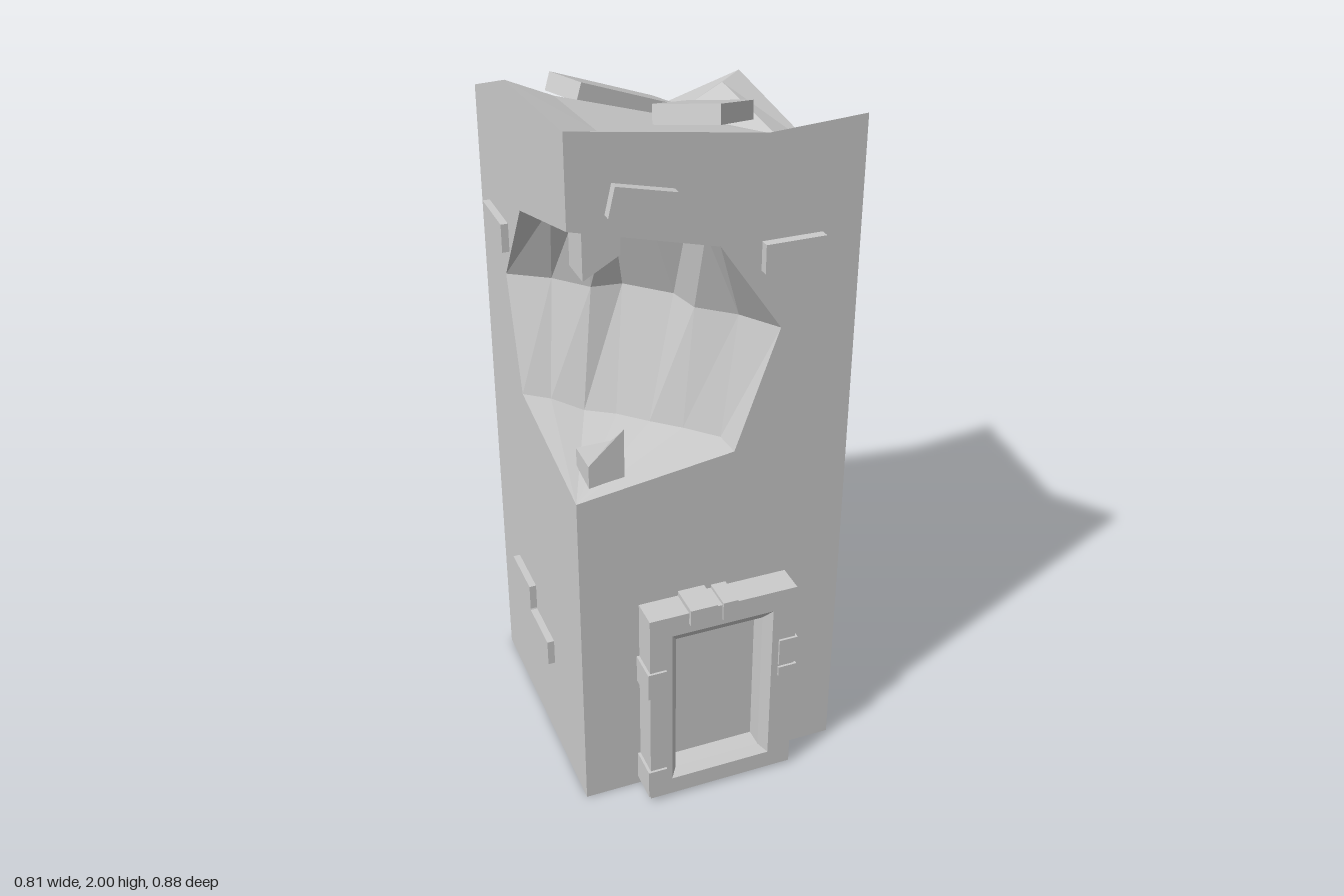
import * as THREE from 'three';

const mat = new THREE.MeshStandardMaterial({ color: 0xcccccc, flatShading: true });
const L = -0.385, R = 0.378, F = 0.342, B = -0.42;

// Geometry from a list of polygons, each counter-clockwise seen from outside
function fromPolygons(polys) {
  const pos = [];
  for (const pts of polys) {
    const n = [0, 0, 0];
    pts.forEach((p, i) => {
      const q = pts[(i + 1) % pts.length];
      for (let k = 0; k < 3; k++) {
        const a = (k + 1) % 3, b = (k + 2) % 3;
        n[k] += (p[a] - q[a]) * (p[b] + q[b]);
      }
    });
    const abs = n.map(Math.abs), k = abs.indexOf(Math.max(...abs));
    let a = (k + 1) % 3, b = (k + 2) % 3;
    if (n[k] < 0) [a, b] = [b, a];
    const flat = pts.map(p => new THREE.Vector2(p[a], p[b]));
    for (const tri of THREE.ShapeUtils.triangulateShape(flat, []))
      for (const i of tri) pos.push(...pts[i]);
  }
  const g = new THREE.BufferGeometry();
  g.setAttribute('position', new THREE.Float32BufferAttribute(pos, 3));
  g.computeVertexNormals();
  return g;
}

function towerGeometry() {
  const polys = [];
  // Four walls, with the broken corners in their outlines
  const front = [[L, 0], [R, 0], [R, 1.945], [0.12, 1.93], [L, 2], [L, 1.76], [0, 1.66], [0.17, 1.41], [0.05, 1.07], [L, 1.01]];
  const left = [[F, 0], [B, 0], [B, 1.04], [-0.11, 1.21], [B, 1.355], [B, 1.82], [0.07, 1.76], [F, 1.945]];
  const back = [[R, 0], [L, 0], [L, 1.87], [0.08, 1.73], [R, 1.82], [R, 1.355], [0.235, 1.36], [0.09, 1.13], [R, 1.04]];
  const right = [[B, 0], [F, 0], [F, 1.01], [-0.113, 1.09], [-0.213, 1.41], [-0.043, 1.66], [F, 1.76], [F, 2], [-0.12, 1.975], [B, 1.87]];
  polys.push(front.map(([x, y]) => [x, y, F]), left.map(([z, y]) => [R, y, z]),
    back.map(([x, y]) => [x, y, B]), right.map(([z, y]) => [L, y, z]));
  polys.push([[L, 0, B], [R, 0, B], [R, 0, F], [L, 0, F]]);

  // Small notch in the back corner, fanned from its deepest point
  const a = [R, 1.21, -0.11];
  const edge = [[R, 1.355, B], [0.235, 1.36, B], [0.09, 1.13, B], [R, 1.04, B]];
  for (let i = 0; i < 3; i++) polys.push([edge[i], a, edge[i + 1]]);

  // Big bite in the front corner: rings measured inward from that corner
  const ring = r => r.map(([u, v, y]) => [L + u, y, F - v]);
  const rings = [
    ring([[0.435, 0, 1.07], [0.43, 0.08, 1.07], [0.355, 0.16, 1.07], [0.29, 0.24, 1.06], [0.22, 0.31, 1.06],
      [0.145, 0.36, 1.06], [0.07, 0.42, 1.08], [0, 0.455, 1.09]]),
    ring([[0.555, 0, 1.41], [0.485, 0.105, 1.41], [0.395, 0.185, 1.41], [0.375, 0.28, 1.41], [0.27, 0.385, 1.41],
      [0.185, 0.395, 1.41], [0.105, 0.485, 1.41], [0, 0.555, 1.41]]),
    ring([[0.385, 0, 1.66], [0.38, 0.08, 1.66], [0.36, 0.15, 1.67], [0.28, 0.22, 1.68], [0.21, 0.29, 1.68],
      [0.145, 0.34, 1.68], [0.075, 0.37, 1.66], [0, 0.385, 1.66]]),
  ];
  const floor = [L, 1.01, F], ceiling = [L, 1.76, F];
  for (let i = 0; i < 7; i++) {
    polys.push([floor, rings[0][i], rings[0][i + 1]], [ceiling, rings[2][i + 1], rings[2][i]]);
    for (let j = 0; j < 2; j++) {
      const lo = rings[j], hi = rings[j + 1];
      polys.push([lo[i + 1], lo[i], hi[i]], [lo[i + 1], hi[i], hi[i + 1]]);
    }
  }

  // Collapsed roof: uneven rim, and an inner ring fanned from its low point
  const rim = [[L, 2, F], [0.12, 1.93, F], [R, 1.945, F], [R, 1.76, 0.07], [R, 1.82, B], [0.08, 1.73, B], [L, 1.87, B], [L, 1.975, -0.12]];
  const inner = [[-0.27, 1.95, 0.235], [0.11, 1.88, 0.235], [0.28, 1.88, 0.235], [0.28, 1.8, 0.04],
    [0.28, 1.83, -0.31], [0.115, 1.78, -0.25], [-0.27, 1.86, -0.31], [-0.27, 1.93, -0.09]];
  for (let i = 0; i < 8; i++) {
    const j = (i + 1) % 8;
    polys.push([rim[i], rim[j], inner[j]], [rim[i], inner[j], inner[i]]);
    if (i !== 3 && j !== 3) polys.push([inner[i], inner[j], inner[3]]);
  }
  return fromPolygons(polys);
}

export function createModel() {
  const group = new THREE.Group();
  const add = (name, geo, parent = group) => {
    const m = new THREE.Mesh(geo, mat);
    m.name = name;
    parent.add(m);
    return m;
  };
  // Box given by its lower and upper limits
  const box = (name, x0, x1, y0, y1, z0, z1, parent) => {
    const m = add(name, new THREE.BoxGeometry(x1 - x0, y1 - y0, z1 - z0), parent);
    m.position.set((x0 + x1) / 2, (y0 + y1) / 2, (z0 + z1) / 2);
    return m;
  };

  add('towerBody', towerGeometry());

  // Bricks standing proud of the walls
  box('frontBrick', -0.285, -0.125, 1.768, 1.846, 0.32, 0.367).rotation.z = -0.23;
  box('frontBrick', 0.11, 0.272, 1.578, 1.656, 0.32, 0.367);
  for (const [z0, z1, y] of [[0.015, 0.175, 0.375], [-0.148, 0.013, 0.29], [0.11, 0.27, 1.495]])
    box('leftBrick', 0.35, 0.404, y, y + 0.08, z0, z1);
  for (const [z0, z1, y] of [[-0.25, -0.085, 0.375], [-0.085, 0.078, 0.29], [-0.34, -0.165, 1.495]])
    box('rightBrick', -0.405, -0.36, y, y + 0.08, z0, z1);
  for (const [x0, x1, y] of [[-0.275, -0.115, 1.58], [-0.145, 0.015, 0.8], [-0.305, -0.145, 0.72], [0.07, 0.232, 0.25]])
    box('backBrick', x0, x1, y, y + 0.08, -0.44, -0.4);

  // Doorway: frame with a chamfered opening, recessed door and stones around it
  const door = new THREE.Group();
  door.name = 'doorway';
  group.add(door);
  const rect = (T, x0, x1, y0, y1) => {
    const s = new T();
    s.moveTo(x0, y0).lineTo(x1, y0).lineTo(x1, y1).lineTo(x0, y1).closePath();
    return s;
  };
  const opening = [-0.155, 0.143, 0.065, 0.58], panel = [-0.135, 0.122, 0.082, 0.547];
  const shape = rect(THREE.Shape, -0.22, 0.212, 0.01, 0.645);
  shape.holes.push(rect(THREE.Path, ...opening));
  add('doorFrame', new THREE.ExtrudeGeometry(shape, { depth: 0.083, bevelEnabled: false }), door).position.z = F;
  const corners = ([x0, x1, y0, y1], z) => [[x0, y0, z], [x1, y0, z], [x1, y1, z], [x0, y1, z]];
  const steps = [corners(opening, 0.425), corners(panel, 0.4), corners(panel, 0.34)];
  const reveal = [];
  for (let s = 0; s < 2; s++)
    for (let i = 0; i < 4; i++) {
      const j = (i + 1) % 4;
      reveal.push([steps[s][i], steps[s][j], steps[s + 1][j], steps[s + 1][i]]);
    }
  add('doorReveal', fromPolygons(reveal), door);
  box('door', ...panel, 0.33, 0.346, door);
  for (const [x0, x1, y0, y1, z1] of [[-0.228, -0.173, 0.385, 0.47, 0.432], [-0.228, -0.173, 0.025, 0.115, 0.432],
    [0.163, 0.218, 0.39, 0.475, 0.432], [0.163, 0.218, 0.35, 0.38, 0.432],
    [-0.107, -0.03, 0.61, 0.66, 0.438], [-0.01, 0.033, 0.598, 0.655, 0.432]])
    box('doorStone', x0, x1, y0, y1, 0.34, z1, door);

  // Stumps of the broken corner post inside the bite, each with one raised corner
  const stump = (name, y0, y1, broken, lift) => {
    const m = box(name, -0.335, -0.238, y0, y1, 0.197, 0.297);
    const p = m.geometry.attributes.position;
    for (let i = 0; i < p.count; i++)
      if (p.getX(i) > 0 && p.getZ(i) > 0 && p.getY(i) * broken > 0) p.setY(i, p.getY(i) + lift);
    m.geometry.computeVertexNormals();
  };
  stump('lowerStump', 0.98, 1.085, 1, 0.09);
  stump('upperStump', 1.605, 1.8, -1, 0.055);

  // Fallen slabs on the roof, laid along a sloping axis and rolled a little
  const slab = (name, from, to, width, thick, roll) => {
    const p = new THREE.Vector3(...from), q = new THREE.Vector3(...to);
    const x = q.clone().sub(p), len = x.length();
    x.normalize();
    const z = new THREE.Vector3().crossVectors(x, new THREE.Vector3(0, 1, 0)).normalize();
    const y = new THREE.Vector3().crossVectors(z, x);
    const m = add(name, new THREE.BoxGeometry(len, thick, width));
    m.quaternion.setFromRotationMatrix(new THREE.Matrix4().makeBasis(x, y, z));
    m.rotateX(roll);
    m.position.copy(p).add(q).multiplyScalar(0.5);
  };
  slab('backSlab', [-0.205, 1.905, -0.22], [0.1, 1.785, -0.275], 0.163, 0.05, -0.1);
  slab('frontSlab', [-0.01, 1.925, 0.143], [0.19, 1.83, -0.105], 0.172, 0.05, -0.1);
  return group;
}
